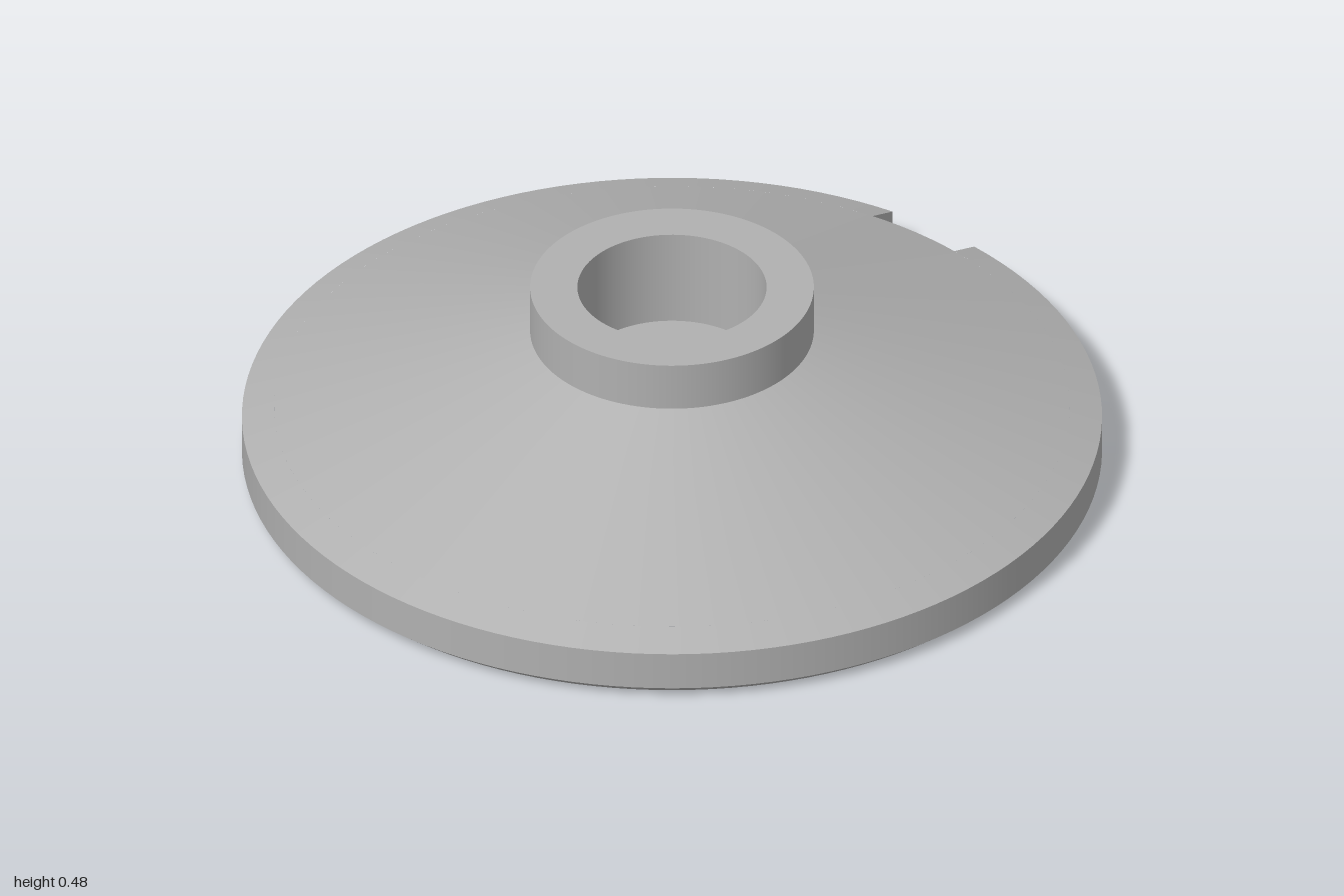
import * as THREE from 'three';

const SLOT = 0.12;      // half width of the slot, same as the bore radius
const CEIL = 0.147;     // height of the slot ceiling
const RIM = 0.925;      // radius where the ceiling meets the cone
const SEGMENTS = 128;

// Surface of revolution between two profile points, left open at the slot if wanted.
// Profile order: bottom outwards, up the outside, over the top, down the bore.
function band([r0, y0], [r1, y1], slotted) {
  const start = r => (slotted ? Math.asin(Math.min(1, SLOT / r)) : 0);
  const length = Math.hypot(r1 - r0, y1 - y0);
  const nr = (y1 - y0) / length, ny = (r0 - r1) / length;
  const pos = [], nor = [], index = [];
  for (let i = 0; i <= SEGMENTS; i++) {
    for (const [r, y] of [[r0, y0], [r1, y1]]) {
      const s = start(r);
      const t = s + (2 * Math.PI - 2 * s) * i / SEGMENTS;
      pos.push(r * Math.cos(t), y, -r * Math.sin(t));
      nor.push(nr * Math.cos(t), ny, -nr * Math.sin(t));
    }
    if (i < SEGMENTS) {
      const a = 2 * i;
      index.push(a, a + 2, a + 3, a, a + 3, a + 1);
    }
  }
  const geometry = new THREE.BufferGeometry();
  geometry.setAttribute('position', new THREE.Float32BufferAttribute(pos, 3));
  geometry.setAttribute('normal', new THREE.Float32BufferAttribute(nor, 3));
  geometry.setIndex(index);
  return geometry;
}

export function createModel() {
  const group = new THREE.Group();
  group.name = 'slottedFlange';
  const metal = new THREE.MeshStandardMaterial({ color: 0xb0b0b0 });
  metal.name = 'grey metal';
  const add = (name, geometry) => {
    const mesh = new THREE.Mesh(geometry, metal);
    mesh.name = name;
    group.add(mesh);
    return mesh;
  };

  // Lower faces, cut through by the slot
  add('underside', band([SLOT, 0], [0.97, 0], true));
  add('bottomChamfer', band([0.97, 0], [1, 0.025], true));
  add('rim', band([1, 0.025], [1, 0.12], true));
  add('lowerCone', band([1, 0.12], [RIM, CEIL], true));
  add('slotEnd', band([SLOT, CEIL], [SLOT, 0], true));

  // Upper faces, complete rings
  add('cone', band([RIM, CEIL], [0.33, 0.36]));
  add('collar', band([0.33, 0.36], [0.33, 0.48]));
  add('collarTop', band([0.33, 0.48], [0.22, 0.48]));
  add('counterbore', band([0.22, 0.48], [0.22, 0.24]));
  add('counterboreFloor', band([0.22, 0.24], [SLOT, 0.24]));
  add('bore', band([SLOT, 0.24], [SLOT, CEIL]));

  // Flat side walls of the slot, following the rim profile
  const edge = [[0.97, 0], [1, 0.025], [1, 0.12], [RIM, CEIL]]
    .map(([r, y]) => new THREE.Vector2(Math.sqrt(r * r - SLOT * SLOT), y));
  const outline = [new THREE.Vector2(0, 0), ...edge, new THREE.Vector2(0, CEIL)];
  const wall = new THREE.ShapeGeometry(new THREE.Shape(outline));
  add('slotWallRight', wall).position.z = -SLOT;
  const mirrored = wall.clone().rotateY(Math.PI).scale(-1, 1, 1);
  mirrored.setIndex([...wall.index.array].reverse());
  mirrored.computeVertexNormals();
  add('slotWallLeft', mirrored).position.z = SLOT;

  // Slot ceiling from the bore to the rim, facing down
  const a = Math.asin(SLOT / RIM);
  const ceiling = new THREE.Shape();
  ceiling.moveTo(0, -SLOT);
  ceiling.absarc(0, 0, RIM, -a, a, false);
  ceiling.lineTo(0, SLOT);
  ceiling.absarc(0, 0, SLOT, Math.PI / 2, -Math.PI / 2, true);
  add('slotCeiling', new THREE.ShapeGeometry(ceiling, 32).rotateX(Math.PI / 2)).position.y = CEIL;

  return group;
}
